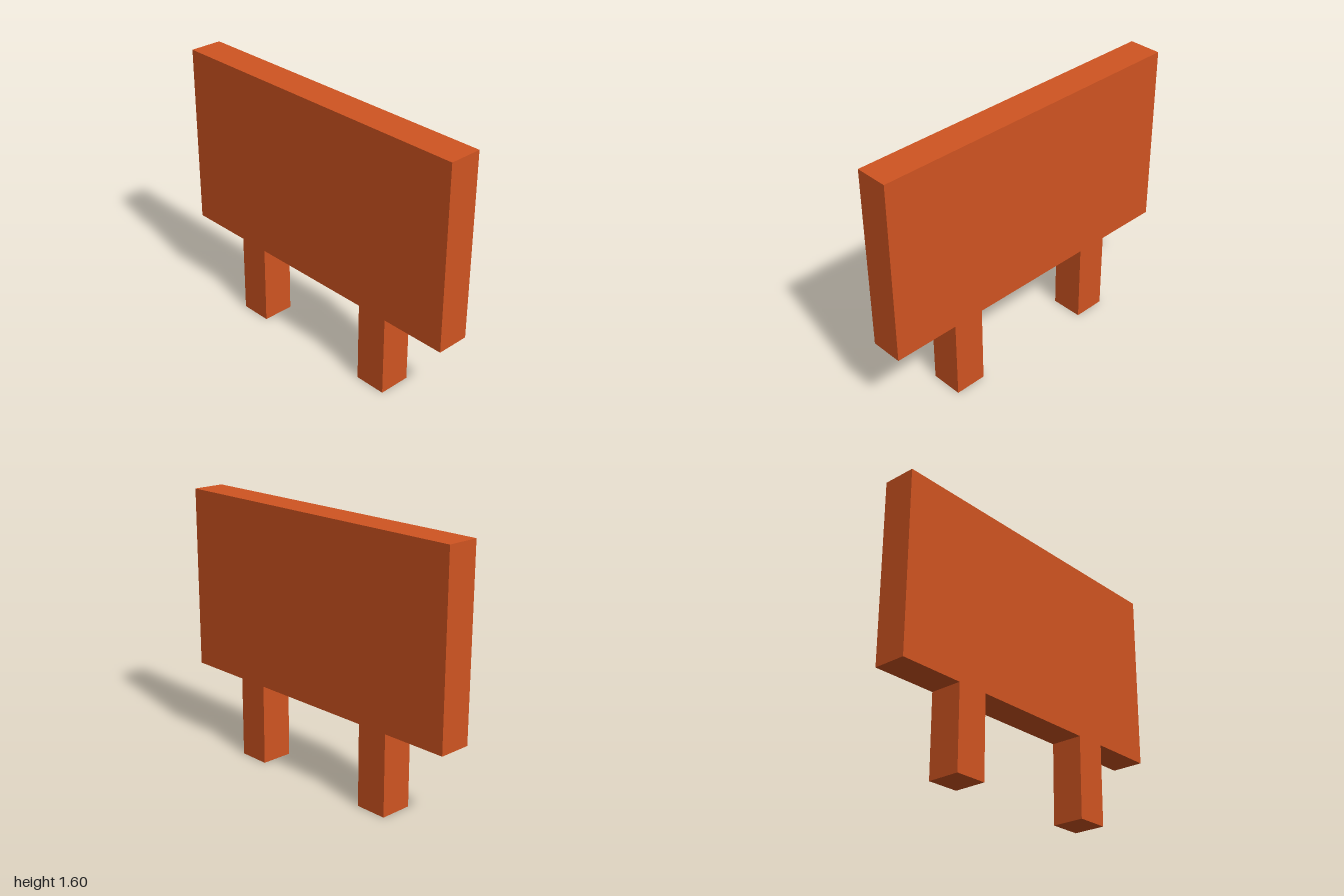
import * as THREE from 'three';

export function createModel() {
  const model = new THREE.Group();
  model.name = 'signBoard';
  const orange = new THREE.MeshStandardMaterial({ color: 0xd05421 });
  orange.name = 'burnt orange';

  const thickness = 0.199;
  const legHeight = 0.494;
  const boardHeight = 1.106;

  // Box standing on the given height
  function addBox(name, width, height, x, bottom) {
    const mesh = new THREE.Mesh(new THREE.BoxGeometry(width, height, thickness), orange);
    mesh.name = name;
    mesh.position.set(x, bottom + height / 2, 0);
    model.add(mesh);
  }

  // Upright panel
  addBox('board', 1.998, boardHeight, 0, legHeight);

  // Two square legs, flush with the panel faces
  for (const side of [-1, 1]) {
    addBox(side > 0 ? 'leftLeg' : 'rightLeg', 0.197, legHeight, side * 0.499, 0);
  }

  // The whole board is turned slightly, its left end forward
  model.rotation.y = -THREE.MathUtils.degToRad(10.8);
  return model;
}
